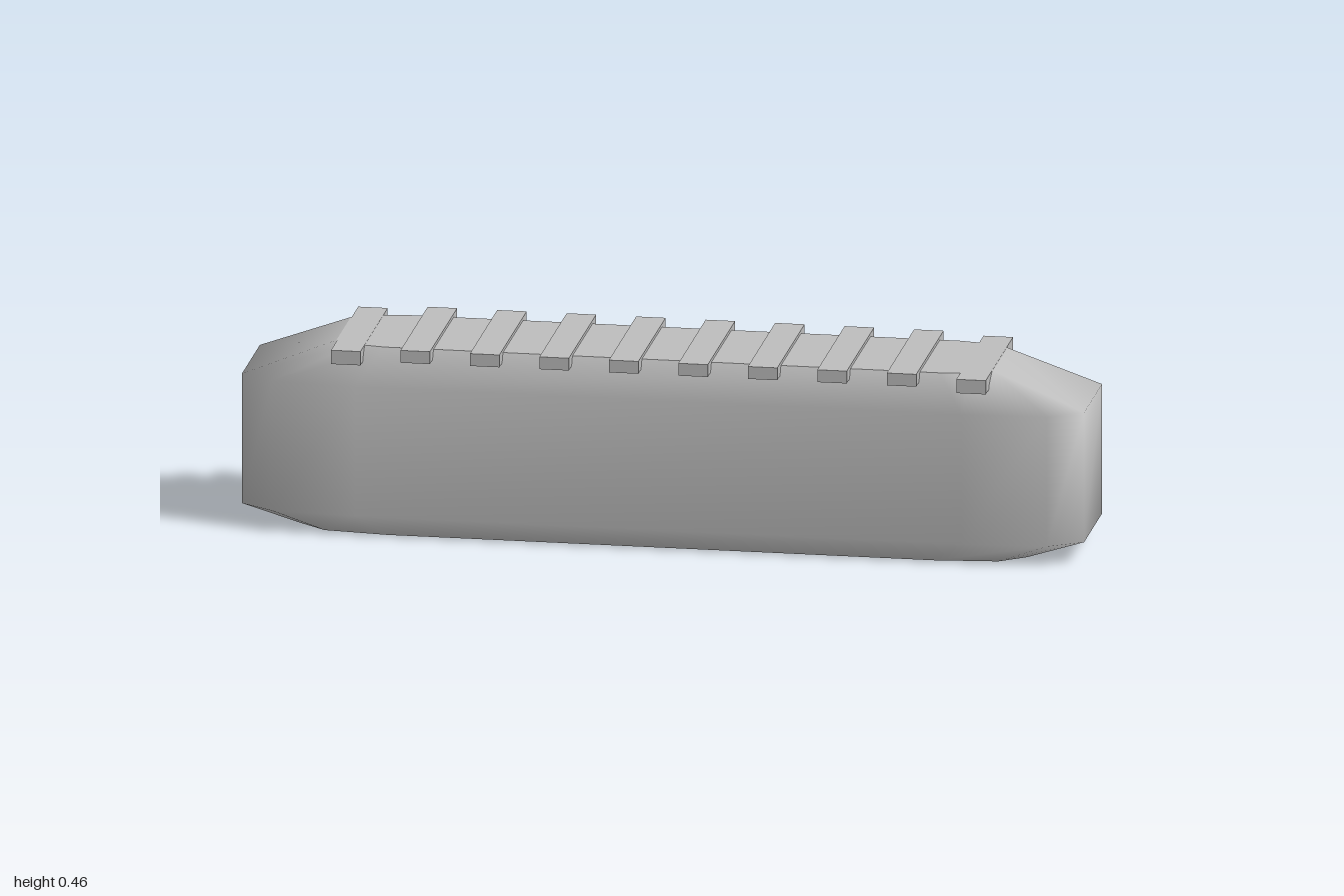
import * as THREE from 'three';

const grey = new THREE.MeshStandardMaterial({ color: 0xbdbdbd });
grey.name = 'grey';

// Each level: height and one quadrant of its outline as [x, z], from the end to the long side
const LEVELS = [
  { y: 0, q: [[0.86, 0.1], [0.8, 0.147], [0.65, 0.163]] },
  { y: 0.05, q: [[1, 0.125], [0.92, 0.177], [0.72, 0.19]] },
  { y: 0.365, q: [[1, 0.125], [0.92, 0.177], [0.72, 0.19]] },
  { y: 0.45, q: [[0.78, 0.1], [0.73, 0.128], [0.66, 0.14]] },
];

// Mirror a quadrant into a full ring, counter-clockwise seen from above
function ring({ y, q }) {
  const back = [...q].reverse();
  return [
    ...q.map(([x, z]) => [x, y, -z]),
    ...back.map(([x, z]) => [-x, y, -z]),
    ...q.map(([x, z]) => [-x, y, z]),
    ...back.map(([x, z]) => [x, y, z]),
  ];
}

function buildGeometry(points, index) {
  const g = new THREE.BufferGeometry();
  g.setAttribute('position', new THREE.Float32BufferAttribute(points.flat(), 3));
  g.setIndex(index);
  g.computeVertexNormals();
  return g;
}

// Smooth wall through all levels
function wallGeometry() {
  const rings = LEVELS.map(ring);
  const n = rings[0].length;
  const index = [];
  for (let l = 0; l < rings.length - 1; l++) {
    for (let i = 0; i < n; i++) {
      const a = l * n + i, b = l * n + (i + 1) % n;
      index.push(a, b, b + n, a, b + n, a + n);
    }
  }
  return buildGeometry(rings.flat(), index);
}

// Flat cap closing one level
function capGeometry(level, up) {
  const pts = ring(level);
  const n = pts.length;
  const index = [];
  for (let i = 0; i < n; i++) {
    const j = (i + 1) % n;
    index.push(n, up ? i : j, up ? j : i);
  }
  return buildGeometry([...pts, [0, level.y, 0]], index);
}

export function createModel() {
  const group = new THREE.Group();
  group.name = 'slattedBlock';

  const add = (name, geometry) => {
    const mesh = new THREE.Mesh(geometry, grey);
    mesh.name = name;
    group.add(mesh);
    return mesh;
  };

  // Chamfered body
  add('bodyWall', wallGeometry());
  add('bodyTop', capGeometry(LEVELS[3], true));
  add('bodyBottom', capGeometry(LEVELS[0], false));

  // Cross slats: the two end ones sit lower, flush with the top
  for (let i = 0; i < 10; i++) {
    const end = i === 0 || i === 9;
    const low = end ? 0.417 : 0.428;
    const high = end ? 0.4505 : 0.458;
    const slat = add(end ? 'endSlat' : 'slat', new THREE.BoxGeometry(0.07, high - low, 0.38));
    slat.position.set((i - 4.5) * 0.165, (low + high) / 2, 0);
  }
  return group;
}
